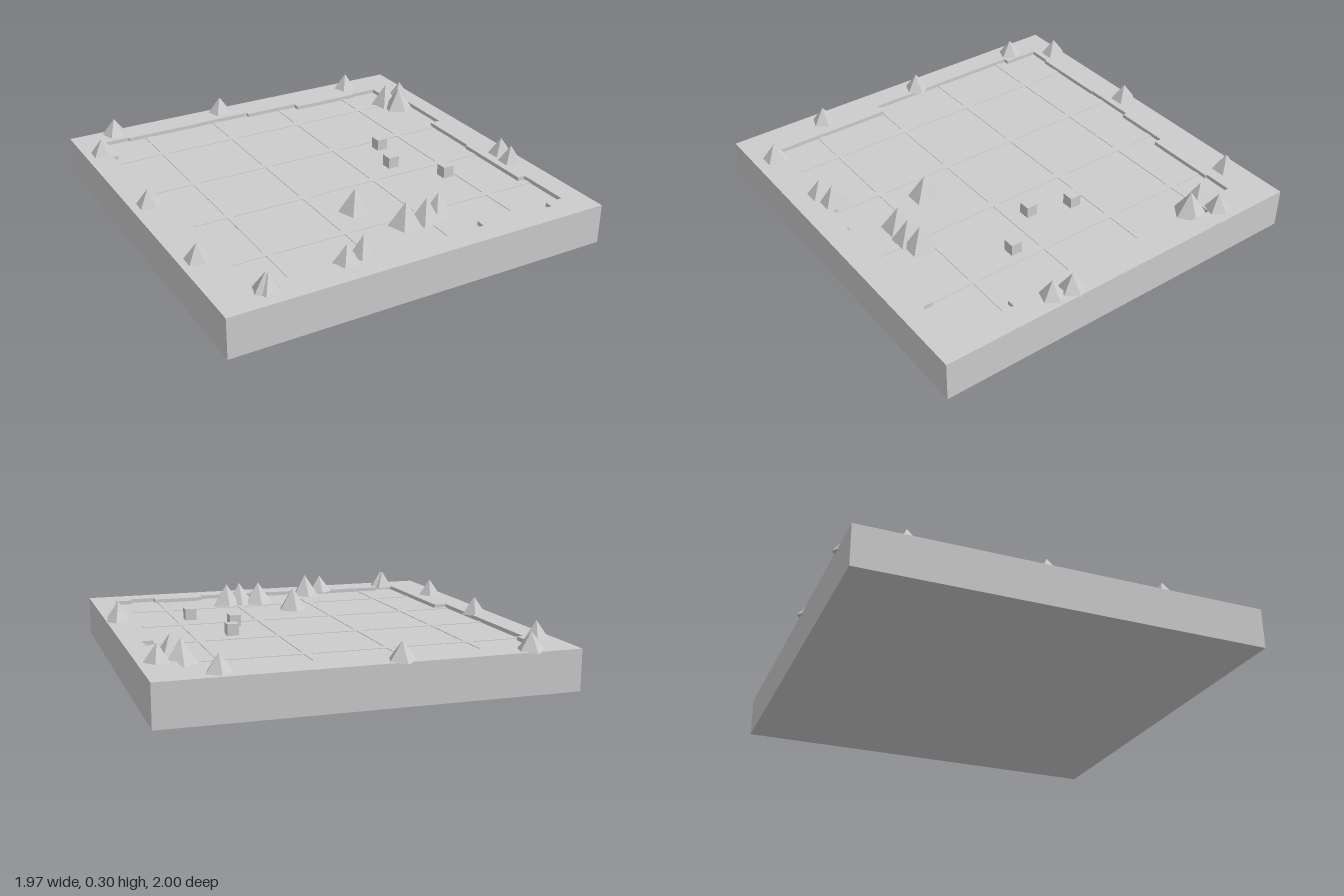
import * as THREE from 'three';

export function createModel() {
  const model = new THREE.Group();
  const stone = new THREE.MeshStandardMaterial({ color: 0xcccccc, flatShading: true });
  stone.name = 'pale grey';

  const X0 = -0.99, X1 = 0.975, Z0 = -0.975, Z1 = 1.0;
  const FLOOR = 0.18, RIM = 0.2;

  function add(name, geometry, x = 0, y = 0, z = 0, parent = model) {
    const mesh = new THREE.Mesh(geometry, stone);
    mesh.name = name;
    mesh.position.set(x, y, z);
    parent.add(mesh);
    return mesh;
  }

  // Ground slab below the sunken floor
  add('groundSlab', new THREE.BoxGeometry(X1 - X0, FLOOR, Z1 - Z0),
    (X0 + X1) / 2, FLOOR / 2, (Z0 + Z1) / 2);

  // Raised rim with a stepped inner edge, points given as x, z
  const toShape = (pts) => pts.map(([x, z]) => new THREE.Vector2(x, -z));
  const rim = new THREE.Shape(toShape([[X0, Z1], [X1, Z1], [X1, Z0], [X0, Z0]]));
  rim.holes.push(new THREE.Path(toShape([
    [-0.835, -0.84], [-0.71, -0.84], [-0.71, -0.83], [-0.29, -0.83], [-0.29, -0.835],
    [-0.005, -0.835], [-0.005, -0.815], [0.29, -0.815], [0.29, -0.775], [0.66, -0.775],
    [0.66, -0.785], [0.805, -0.785], [0.805, -0.58], [0.88, -0.58], [0.88, -0.21],
    [0.825, -0.21], [0.825, 0.13], [0.815, 0.13], [0.815, 0.57], [0.855, 0.57],
    [0.855, 0.85], [0.76, 0.85], [0.76, 0.89], [0.63, 0.89], [0.63, 0.84],
    [0.365, 0.84], [0.365, 0.885], [-0.035, 0.885], [-0.035, 0.87], [-0.19, 0.87],
    [-0.19, 0.84], [-0.7, 0.84], [-0.7, 0.87], [-0.8, 0.87], [-0.8, 0.215],
    [-0.865, 0.215], [-0.865, -0.65], [-0.835, -0.65],
  ])));
  const rimGeometry = new THREE.ExtrudeGeometry(rim, { depth: RIM - FLOOR, bevelEnabled: false });
  rimGeometry.rotateX(-Math.PI / 2);
  add('rim', rimGeometry, 0, FLOOR, 0);

  // Thin strips dividing the floor into squares
  const grid = new THREE.Group();
  grid.name = 'floorGrid';
  model.add(grid);
  for (const p of [-0.6, -0.2, 0.2, 0.6]) {
    add('stripAlongZ', new THREE.BoxGeometry(0.035, 0.003, 1.76), p, FLOOR + 0.0015, 0.01, grid);
    add('stripAlongX', new THREE.BoxGeometry(1.76, 0.003, 0.035), 0, FLOOR + 0.0015, p, grid);
  }

  // Five-sided cones: x, z, radius, turn
  const cone = (name, base, top) => ([x, z, r, turn = 0]) => {
    const mesh = add(name, new THREE.ConeGeometry(r, top - base, 5), x, (base + top) / 2, z);
    mesh.rotation.y = Math.PI + turn;
  };

  // Cones standing on the floor
  [
    [-0.25, 0.835, 0.078], [-0.053, 0.435, 0.082], [0.08, 0.667, 0.085],
    [0.185, 0.68, 0.08], [0.262, 0.663, 0.08],
    [0.778, -0.61, 0.082], [0.808, -0.52, 0.08, Math.PI / 5],
  ].forEach(cone('floorCone', FLOOR, 0.297));

  // Cones standing on the rim
  [
    [-0.755, -0.925, 0.07], [-0.13, -0.925, 0.07], [0.675, -0.895, 0.068],
    [-0.9, -0.712, 0.066, -0.35], [-0.9, -0.06, 0.066, -0.35], [-0.905, 0.525, 0.066, -0.35],
    [-0.755, 0.885, 0.066, 0.6], [-0.745, 0.895, 0.066],
    [-0.345, 0.853, 0.068], [0.885, -0.63, 0.066, -0.3],
    [0.915, 0.295, 0.066, -Math.PI / 2], [0.9, 0.395, 0.064, -0.3],
  ].forEach(cone('rimCone', 0.195, 0.286));

  // Small cubes on the floor
  for (const [x, z] of [[0.423, -0.105], [0.358, 0.108], [0.538, 0.335]]) {
    add('cube', new THREE.BoxGeometry(0.058, 0.058, 0.058), x, FLOOR + 0.029, z);
  }

  return model;
}
